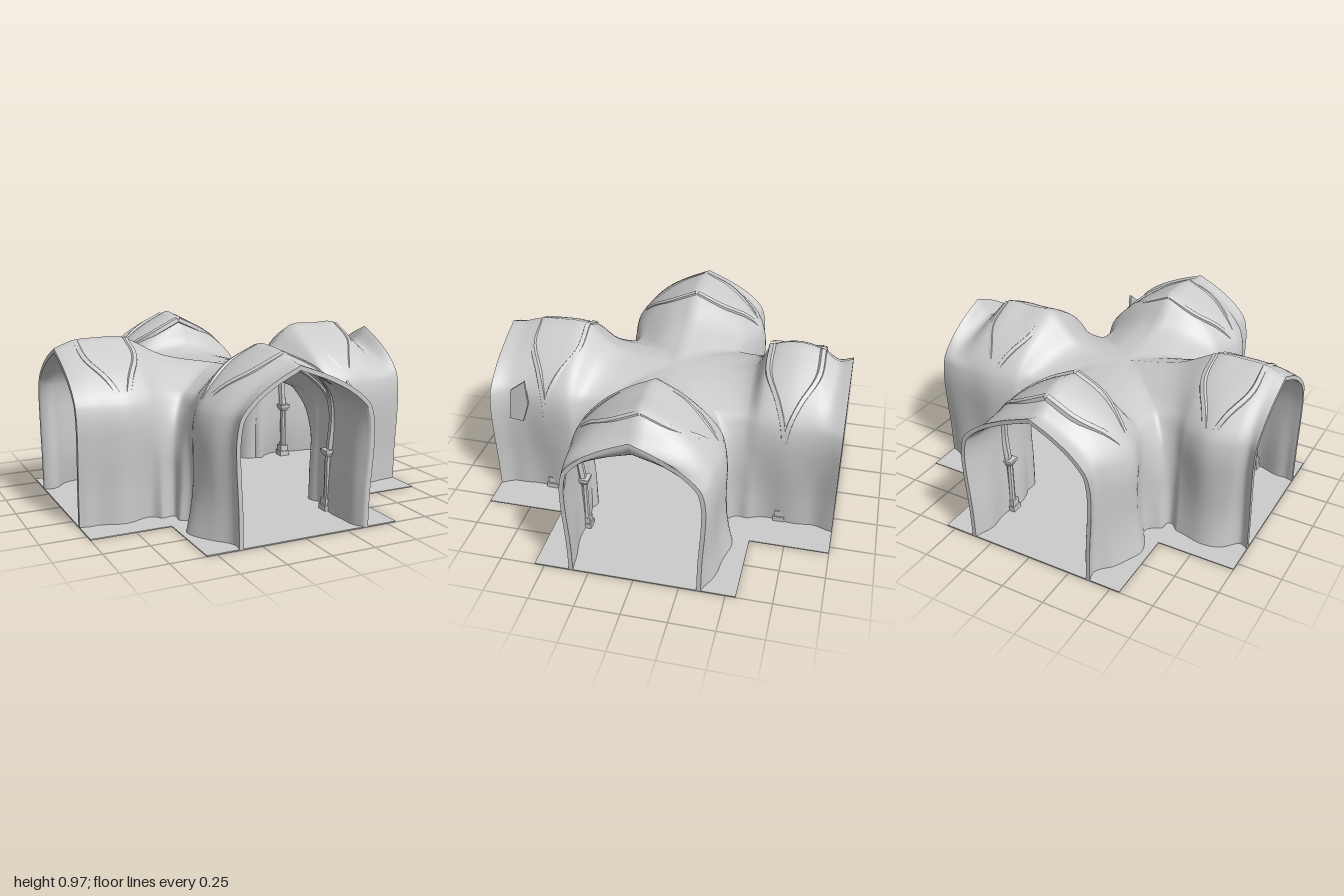
import * as THREE from 'three';
import { mergeVertices } from 'three/addons/utils/BufferGeometryUtils.js';

const grey = new THREE.MeshStandardMaterial({ color: 0xcccccc, side: THREE.DoubleSide });
const flat = new THREE.MeshStandardMaterial({ color: 0xcccccc, flatShading: true });
const MID = -0.05;       // sideways shift of the front and back tunnels
const SHOULDER = 0.66;   // height where wall turns into roof
const THICK = 0.024;

// Each arm: distance from the centre and roof height, from the mouth inwards
const arms = {
  front: { at: [1, 0.92, 0.82, 0.68, 0.54, 0.36, 0], h: [0.9, 0.91, 0.94, 0.95, 0.94, 0.8, 0.75], rib: 0.68 },
  back: { at: [1, 0.92, 0.83, 0.69, 0.545, 0.45, 0], h: [0.9, 0.88, 0.94, 0.97, 0.93, 0.775, 0.75], rib: 0.69 },
  left: { at: [1, 0.92, 0.78, 0.63, 0.48, 0.29, 0], h: [0.9, 0.81, 0.94, 0.945, 0.94, 0.77, 0.75], rib: 0.63 },
  right: { at: [1, 0.95, 0.88, 0.74, 0.6, 0.34, 0], h: [0.9, 0.92, 0.94, 0.945, 0.94, 0.82, 0.75], rib: 0.74 },
};

// Four corner walls: half widths along the z arm, the corner itself, then along the x arm
const corners = [
  { sx: 1, sz: 1, z: 'front', x: 'left', za: [0.39, 0.35, 0.34, 0.36, 0.37, 0.365], c: [0.4, 0.42], xa: [0.37, 0.385, 0.4, 0.42, 0.41, 0.405] },
  { sx: -1, sz: 1, z: 'front', x: 'right', za: [0.39, 0.375, 0.44, 0.47, 0.43, 0.455], c: [0.49, 0.43], xa: [0.38, 0.39, 0.4, 0.42, 0.4, 0.41] },
  { sx: -1, sz: -1, z: 'back', x: 'right', za: [0.39, 0.37, 0.42, 0.47, 0.43, 0.45], c: [0.5, 0.405], xa: [0.38, 0.35, 0.385, 0.42, 0.38, 0.375] },
  { sx: 1, sz: -1, z: 'back', x: 'left', za: [0.39, 0.365, 0.355, 0.36, 0.355, 0.365], c: [0.41, 0.395], xa: [0.38, 0.4, 0.41, 0.42, 0.39, 0.385] },
];

// Half cross-sections: share of the half width, height for a roof of 1
const toCurve = (pts) => new THREE.CatmullRomCurve3(pts.map(([f, y]) => new THREE.Vector3(f, y, 0)));
const archSection = toCurve([[0.97, 0], [0.98, 0.2], [1.015, 0.42], [1.015, 0.56], [0.96, SHOULDER], [0.75, 0.785], [0.4, 0.905], [0, 1]]);
const crossingSection = toCurve([[1.02, 0], [1, 0.2], [0.99, 0.38], [0.93, 0.53], [0.81, 0.64], [0.62, 0.78], [0.33, 0.95], [0, 1]]);

const ridgeOf = (arm) => toCurve(arm.at.map((a, i) => [a, arm.h[i]]));

function wallPath({ sx, sz, z, x, za, c, xa }) {
  const along = (arm, i, corner) => Math.max(corner + 0.03, i < 5 ? arms[arm].at[i] : (arms[arm].at[4] + corner) / 2);
  const pts = za.map((w, i) => new THREE.Vector3(sx * w, 0, sz * along(z, i, c[1])));
  pts.push(new THREE.Vector3(sx * c[0], 0, sz * c[1]));
  for (let i = 5; i >= 0; i--) pts.push(new THREE.Vector3(sx * along(x, i, c[0]), 0, sz * xa[i]));
  return new THREE.CatmullRomCurve3(pts);
}

// Outer skin: every corner is a grid running from its wall foot up to the ridges
function outerSkin() {
  const pos = [], index = [], U = 72, V = 28;
  for (const corner of corners) {
    const path = wallPath(corner);
    const zRidge = ridgeOf(arms[corner.z]), xRidge = ridgeOf(arms[corner.x]);
    const start = pos.length / 3, flip = corner.sx * corner.sz < 0;
    for (let i = 0; i <= U; i++) {
      const u = i / U, foot = path.getPoint(u);
      const r = u <= 0.5 ? zRidge.getPoint(u * 2) : xRidge.getPoint(2 - u * 2);
      const mouthFade = Math.sin(u * Math.PI);
      const crossing = 1 - THREE.MathUtils.smoothstep(Math.abs(u - 0.5), 0, 0.2);
      // the walls on the right and back sides spread out at the ground
      const spread = (u < 0.5 ? corner.sx : corner.sz) < 0 ? 0.13 * Math.sin(u * Math.PI * 2) ** 2 : 0;
      const rx = u <= 0.5 ? MID : corner.sx * r.x + MID * (1 - r.x);
      const rz = u <= 0.5 ? corner.sz * r.x : 0;
      for (let j = 0; j <= V; j++) {
        const p = archSection.getPoint(j / V).lerp(crossingSection.getPoint(j / V), crossing);
        // folds of the rock, strongest near the ground
        const low = Math.max(0, 1 - p.y / 0.45);
        const fold = 0.04 * mouthFade * low * Math.sin(u * 36 + corner.sx * 2 + corner.sz);
        const f = p.x + fold + spread * low * low;
        const y = p.y < SHOULDER ? p.y : SHOULDER + (p.y - SHOULDER) / (1 - SHOULDER) * (r.y - SHOULDER);
        pos.push(rx + (foot.x - rx) * f, y, rz + (foot.z - rz) * f);
      }
    }
    for (let i = 0; i < U; i++) for (let j = 0; j < V; j++) {
      const a = start + i * (V + 1) + j, b = a + V + 1;
      if (flip) index.push(a, b + 1, b, a, a + 1, b + 1);
      else index.push(a, b, b + 1, a, b + 1, a + 1);
    }
  }
  let geo = new THREE.BufferGeometry();
  geo.setAttribute('position', new THREE.Float32BufferAttribute(pos, 3));
  geo.setIndex(index);
  geo = mergeVertices(geo, 1e-4);
  geo.computeVertexNormals();
  return geo;
}

// Inner skin: the outer one moved inwards and turned round
function innerSkin(outer) {
  const geo = outer.clone(), p = geo.attributes.position, n = outer.attributes.normal;
  const inset = (v, d) => Math.abs(v) > 0.999 ? v : THREE.MathUtils.clamp(v - d * THICK, -1, 1);
  for (let i = 0; i < p.count; i++) {
    const y = p.getY(i);
    p.setXYZ(i, inset(p.getX(i), n.getX(i)), y < 0.001 ? y : y - n.getY(i) * THICK, inset(p.getZ(i), n.getZ(i)));
  }
  geo.setIndex(Array.from(outer.index.array).reverse());
  geo.computeVertexNormals();
  return geo;
}

// Rim: joins the open edges of both skins
function rim(outer, inner) {
  const idx = outer.index.array, edges = new Map(), pos = [];
  for (let t = 0; t < idx.length; t += 3) for (let k = 0; k < 3; k++) {
    const a = idx[t + k], b = idx[t + (k + 1) % 3];
    if (!edges.delete(b + '_' + a)) edges.set(a + '_' + b, [a, b]);
  }
  const put = (g, i) => pos.push(g.attributes.position.getX(i), g.attributes.position.getY(i), g.attributes.position.getZ(i));
  for (const [a, b] of edges.values()) {
    put(outer, b); put(outer, a); put(inner, a);
    put(outer, b); put(inner, a); put(inner, b);
  }
  const geo = new THREE.BufferGeometry();
  geo.setAttribute('position', new THREE.Float32BufferAttribute(pos, 3));
  geo.computeVertexNormals();
  return geo;
}

function add(parent, name, geo, mat, x = 0, y = 0, z = 0) {
  const mesh = new THREE.Mesh(geo, mat);
  mesh.name = name;
  mesh.position.set(x, y, z);
  parent.add(mesh);
}

// Arch: two columns, each carrying two ribs that spread apart towards the roof; spans x
function arch(name, rise) {
  const g = new THREE.Group();
  g.name = name;
  for (const s of [-1, 1]) {
    const x = s * 0.372;
    add(g, 'columnBase', new THREE.BoxGeometry(0.065, 0.03, 0.065), flat, x, 0.022, 0);
    add(g, 'columnPlinth', new THREE.BoxGeometry(0.05, 0.04, 0.05), flat, x, 0.055, 0);
    add(g, 'columnShaft', new THREE.CylinderGeometry(0.018, 0.02, 0.26, 8), flat, x, 0.2, 0);
    add(g, 'capital', new THREE.CylinderGeometry(0.045, 0.026, 0.025, 4).rotateY(Math.PI / 4), flat, x, 0.325, 0);
    add(g, 'capitalSlab', new THREE.BoxGeometry(0.066, 0.015, 0.066), flat, x, 0.345, 0);
    for (const d of [-1, 1]) {
      const path = toCurve([[0.382, 0.34], [0.398, 0.53], [0.378, 0.652], [0.3, 0.755], [0.16, 0.846 + rise / 2], [0, 0.92 + rise]]);
      [0, 0, 0.015, 0.06, 0.135, 0.14].forEach((l, i) => {
        path.points[i].x *= s;
        path.points[i].z = d * l;
      });
      add(g, 'rib', new THREE.TubeGeometry(path, 20, 0.023, 6), flat);
    }
  }
  return g;
}

export function createModel() {
  const model = new THREE.Group();
  model.name = 'caveCrossing';

  // Cross-shaped floor
  const w = 0.555;
  const plan = new THREE.Shape([
    [-w, -1], [w, -1], [w, -w], [1, -w], [1, w], [w, w], [w, 1], [-w, 1], [-w, w], [-1, w], [-1, -w], [-w, -w],
  ].map(([x, y]) => new THREE.Vector2(x, y)));
  add(model, 'floor', new THREE.ExtrudeGeometry(plan, { depth: 0.006, bevelEnabled: false }).rotateX(-Math.PI / 2), flat);

  // Rock shell
  const outer = outerSkin(), inner = innerSkin(outer);
  add(model, 'outerRock', outer, grey);
  add(model, 'innerRock', inner, grey);
  add(model, 'rockRim', rim(outer, inner), grey);

  // Loose flake on the left wall of the front tunnel
  const flake = new THREE.Shape([[-0.9, 0.49], [-0.82, 0.48], [-0.78, 0.6], [-0.79, 0.75], [-0.88, 0.68]].map(([x, y]) => new THREE.Vector2(x, y)));
  add(model, 'rockFlake', new THREE.ExtrudeGeometry(flake, { depth: 0.015, bevelEnabled: false }).rotateY(Math.PI / 2), flat, 0.35);

  // One arch in each tunnel
  for (const [name, side] of [['front', 1], ['back', -1], ['left', 1], ['right', -1]]) {
    const a = arch(name + 'Arch', name === 'back' ? 0.012 : 0), d = side * arms[name].rib;
    if (name === 'front' || name === 'back') a.position.set(MID, 0, d);
    else {
      a.position.set(d, 0, 0);
      a.rotation.y = Math.PI / 2;
    }
    model.add(a);
  }
  return model;
}
